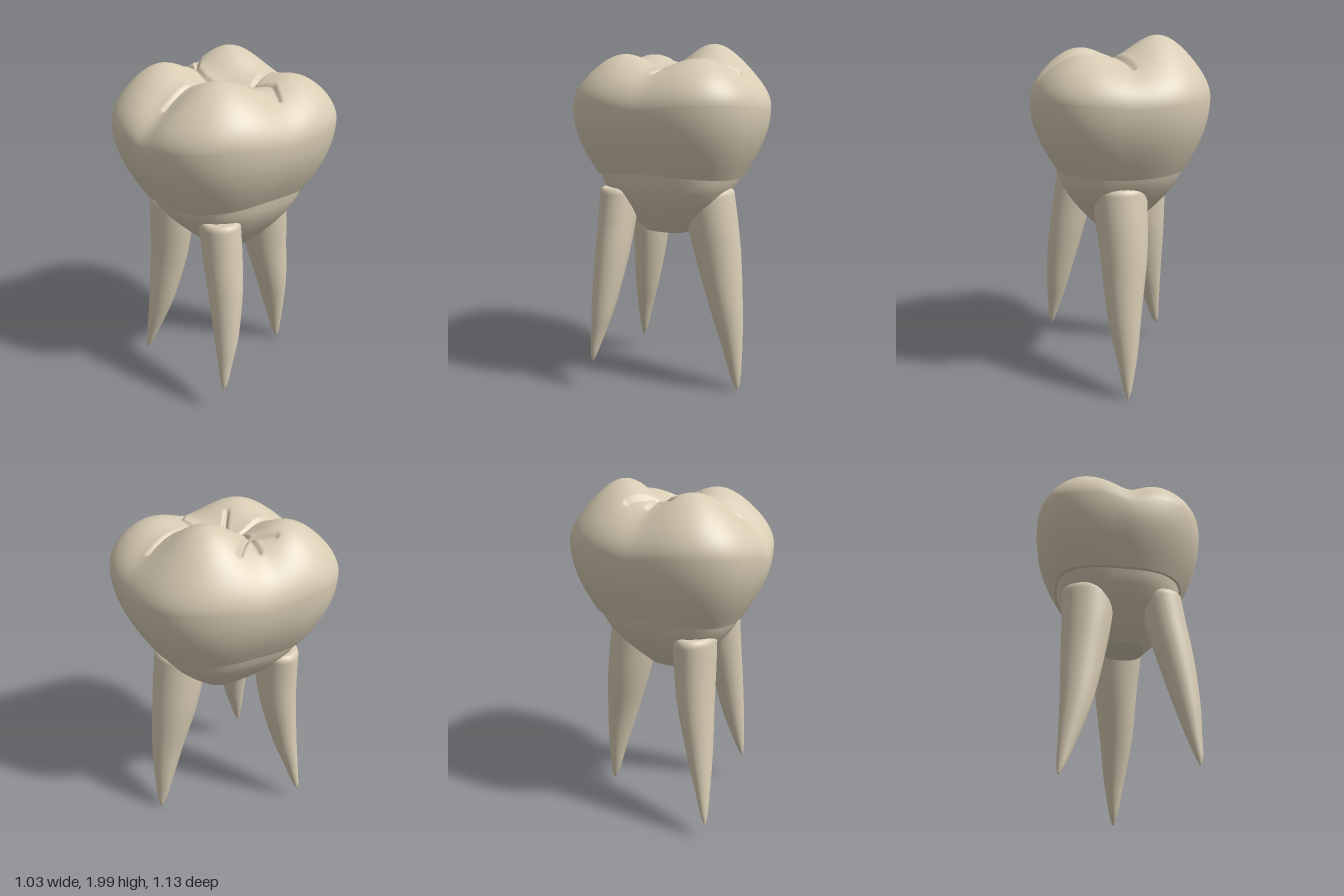
import * as THREE from 'three';

// Skin a list of rings (each a closed loop of [x, y, z], listed so they wrap outward)
function skin(rings) {
  const n = rings[0].length, index = [];
  for (let i = 0; i < rings.length - 1; i++) {
    for (let j = 0; j < n; j++) {
      const a = i * n + j, b = i * n + (j + 1) % n;
      index.push(a, a + n, b, b, a + n, b + n);
    }
  }
  const geo = new THREE.BufferGeometry();
  geo.setAttribute('position', new THREE.Float32BufferAttribute(rings.flat(2), 3));
  geo.setIndex(index);
  geo.computeVertexNormals();
  return geo;
}

// Rounded, slightly sheared outline shared by crown and neck
function outline(angle) {
  const c = Math.cos(angle), s = Math.sin(angle), n = 2.65;
  const r = Math.pow(Math.abs(c / 0.505) ** n + Math.abs(s / 0.563) ** n, -1 / n);
  return [r * c - 0.09 * r * s, r * s];
}

const loop = (n, f) => Array.from({ length: n }, (_, j) => f((j / n) * Math.PI * 2));
const marginY = (a) => 1.267 + 0.018 * Math.cos(2 * a);

// Cusps: x, z, height
const cusps = [[-0.17, -0.19, 0.2], [-0.25, 0.23, 0.155], [0.19, 0.2, 0.135], [0.25, -0.28, 0.105]];

// Fissures: polylines of x, z
const fissures = [
  [[-0.32, 0.015], [-0.2, 0.03], [-0.12, 0.045], [0.03, 0.025], [0.13, 0.1]],
  [[-0.33, -0.1], [-0.2, 0.03], [-0.29, 0.13]],
  [[-0.05, 0.05], [-0.015, 0.2], [0, 0.4]],
  [[0.02, -0.41], [0.125, -0.085], [0.24, -0.12], [0.35, -0.055]],
  [[0.11, -0.075], [0.125, -0.085]],
];

function segmentDistance(x, z, [ax, az], [bx, bz]) {
  const dx = bx - ax, dz = bz - az;
  const t = THREE.MathUtils.clamp(((x - ax) * dx + (z - az) * dz) / (dx * dx + dz * dz), 0, 1);
  return Math.hypot(x - ax - t * dx, z - az - t * dz);
}

// Height of the cusps, valleys and fissures above the plain dome
function relief(x, z) {
  let sum = 0, d = 1;
  for (const [cx, cz, h] of cusps) {
    sum += (h * Math.exp(-((x - cx) ** 2 + (z - cz) ** 2) / 0.0625)) ** 3;
  }
  for (const line of fissures) {
    for (let i = 0; i < line.length - 1; i++) d = Math.min(d, segmentDistance(x, z, line[i], line[i + 1]));
  }
  const pit = 0.045 * Math.exp(-(x * x + z * z) / 0.025);
  const notch = 0.035 * Math.exp(-((x / 0.1) ** 2)) * THREE.MathUtils.smoothstep(z, 0.2, 0.45);
  return Math.cbrt(sum) - pit - notch - 0.022 * Math.exp(-((d / 0.013) ** 2));
}

function crownGeometry() {
  const N = 256, WIDEST = 1.61, rings = [];
  // underside lip, with a doubled ring for a crisp margin
  for (const s of [0.66, 0.755]) {
    rings.push(loop(N, (a) => {
      const [x, z] = outline(a);
      return [x * s, marginY(a), z * s];
    }));
  }
  // bulging side wall
  for (let k = 0; k <= 22; k++) {
    const u = k / 22, s = 0.755 + 0.245 * Math.sin(u * Math.PI / 2);
    rings.push(loop(N, (a) => {
      const [x, z] = outline(a), m = marginY(a);
      return [x * s, m + (WIDEST - m) * u + relief(x, z) * u * u, z * s];
    }));
  }
  // chewing surface
  for (let k = 1; k <= 110; k++) {
    const s = Math.max(Math.cos((k / 110) * Math.PI / 2), 0.002);
    rings.push(loop(N, (a) => {
      const [ox, oz] = outline(a), x = ox * s, z = oz * s;
      return [x, WIDEST + 0.19 * Math.sqrt(1 - s ** 4) + relief(x, z), z];
    }));
  }
  return skin(rings);
}

function neckGeometry() {
  // y, scale; the doubled ring keeps the flat base sharp
  const profile = [[0.93, 0.001], [0.93, 0.24], [0.93, 0.24], [1.0, 0.38], [1.06, 0.49],
    [1.12, 0.585], [1.18, 0.66], [1.23, 0.705], [1.29, 0.735]];
  return skin(profile.map(([y, s]) => loop(96, (a) => {
    const [x, z] = outline(a), shift = 0.03 * (1.29 - y) / 0.36;
    return [x * s + shift, y, z * s];
  })));
}

// Each root section: y, centre x, centre z, half width, half depth (tip to top)
const roots = {
  frontRightRoot: [[0.1, -0.345, 0.36, 0.006, 0.006], [0.14, -0.335, 0.352, 0.02, 0.018],
    [0.3, -0.3, 0.325, 0.052, 0.043], [0.5, -0.262, 0.29, 0.086, 0.073],
    [0.8, -0.227, 0.248, 0.122, 0.103], [1.0, -0.21, 0.235, 0.14, 0.113], [1.15, -0.205, 0.23, 0.15, 0.116]],
  frontLeftRoot: [[0.18, 0.37, 0.34, 0.006, 0.006], [0.22, 0.368, 0.333, 0.02, 0.018],
    [0.35, 0.35, 0.31, 0.045, 0.042], [0.5, 0.332, 0.285, 0.07, 0.067],
    [0.8, 0.282, 0.25, 0.104, 0.096], [1.0, 0.242, 0.235, 0.116, 0.106], [1.15, 0.217, 0.23, 0.12, 0.11]],
  backRoot: [[0.004, 0.045, -0.44, 0.006, 0.006], [0.05, 0.045, -0.432, 0.021, 0.023],
    [0.25, 0.045, -0.406, 0.06, 0.057], [0.5, 0.05, -0.365, 0.097, 0.096],
    [0.8, 0.04, -0.308, 0.13, 0.133], [1.0, 0.045, -0.272, 0.145, 0.147], [1.15, 0.05, -0.25, 0.15, 0.148]],
};

function rootGeometry(sections) {
  const centre = new THREE.CatmullRomCurve3(sections.map(([y, x, z]) => new THREE.Vector3(x, y, z)));
  const size = new THREE.CatmullRomCurve3(sections.map(([y, , , w, d]) => new THREE.Vector3(w, y, d)));
  const ring = (c, w, d) => loop(48, (a) => [c.x + w * Math.cos(a), c.y, c.z + d * Math.sin(a)]);
  const rings = [], STEPS = 36;
  const tip = centre.getPoint(0);
  tip.y -= 0.004;
  rings.push(ring(tip, 0.001, 0.001));
  for (let k = 0; k <= STEPS; k++) {
    const s = size.getPoint(k / STEPS);
    rings.push(ring(centre.getPoint(k / STEPS), s.x, s.z));
  }
  // rounded shoulder
  const top = centre.getPoint(1), end = size.getPoint(1);
  for (let k = 1; k <= 6; k++) {
    const t = (k / 6) * Math.PI / 2, c = top.clone();
    c.y += 0.04 * Math.sin(t);
    const f = 0.8 + 0.2 * Math.cos(t);
    rings.push(ring(c, end.x * f, end.z * f));
  }
  top.y += 0.042;
  rings.push(ring(top, 0.001, 0.001));
  return skin(rings);
}

export function createModel() {
  const enamel = new THREE.MeshStandardMaterial({ color: 0xd8ccb4 });
  enamel.name = 'ivory';
  const model = new THREE.Group();
  model.name = 'molarTooth';
  const add = (name, geometry) => {
    const mesh = new THREE.Mesh(geometry, enamel);
    mesh.name = name;
    model.add(mesh);
  };
  add('crown', crownGeometry());
  add('neck', neckGeometry());
  for (const [name, sections] of Object.entries(roots)) add(name, rootGeometry(sections));
  return model;
}
